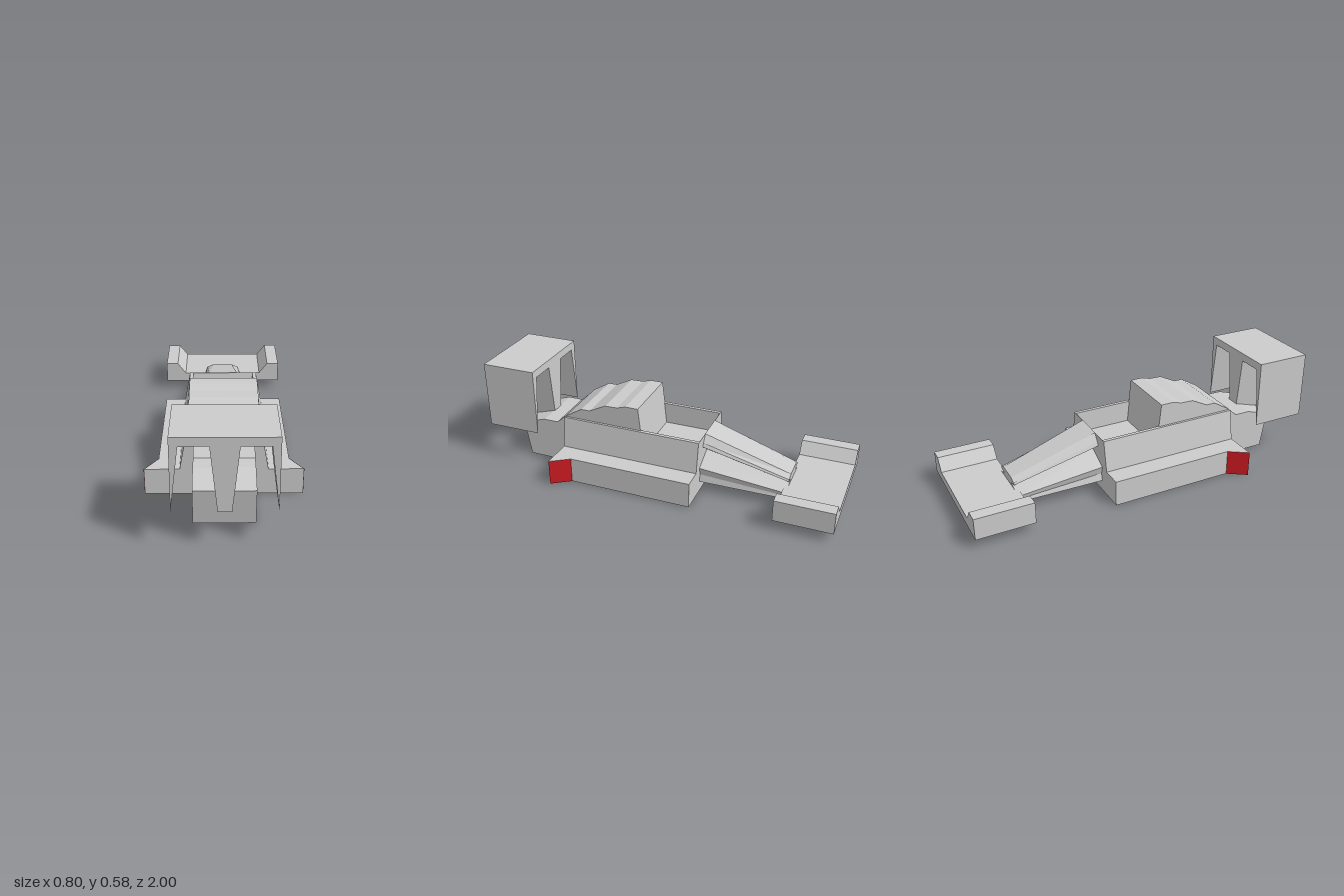
import * as THREE from 'three';

const grey = new THREE.MeshStandardMaterial({ color: 0xcccccc, flatShading: true });
const red = new THREE.MeshStandardMaterial({ color: 0xcc1a22, flatShading: true, side: THREE.DoubleSide });

// Right half of an outline, bottom to top, completed by its mirror image
const mirrored = (half) => [...half, ...half.map(([x, y]) => [-x, y]).reverse()];

const shapeOf = (pts) => new THREE.Shape(pts.map(([x, y]) => new THREE.Vector2(x, y)));

function part(name, geometry, material = grey) {
  const mesh = new THREE.Mesh(geometry, material);
  mesh.name = name;
  return mesh;
}

// Front outline (x, y) extruded from z0 to z1
function alongZ(pts, z0, z1) {
  const geo = new THREE.ExtrudeGeometry(shapeOf(pts), { depth: z1 - z0, bevelEnabled: false });
  return geo.translate(0, 0, z0);
}

// Side profile (z, y) extruded across the car to a half width
function acrossX(pts, halfWidth) {
  const geo = new THREE.ExtrudeGeometry(shapeOf(pts), { depth: halfWidth * 2, bevelEnabled: false });
  return geo.rotateY(-Math.PI / 2).translate(halfWidth, 0, 0);
}

// Skin between two sections, with the tip end closed
function loft(a, za, b, zb) {
  const pos = [];
  const n = a.length;
  for (let i = 0; i < n; i++) {
    const j = (i + 1) % n;
    pos.push(...a[i], za, ...b[i], zb, ...b[j], zb);
    pos.push(...a[i], za, ...b[j], zb, ...a[j], za);
  }
  const contour = b.map(([x, y]) => new THREE.Vector2(x, y));
  for (const [p, q, r] of THREE.ShapeUtils.triangulateShape(contour, [])) {
    pos.push(...b[p], zb, ...b[r], zb, ...b[q], zb);
  }
  const geo = new THREE.BufferGeometry();
  geo.setAttribute('position', new THREE.Float32BufferAttribute(pos, 3));
  geo.computeVertexNormals();
  return geo;
}

export function createModel() {
  const car = new THREE.Group();
  car.name = 'racingCar';

  // Tub with side pods and an open cockpit channel
  const tub = mirrored([
    [0.33, 0], [0.33, 0.142], [0.22, 0.142], [0.19, 0.31], [0.17, 0.31], [0.168, 0.19],
  ]);
  car.add(part('tub', alongZ(tub, -0.24, 0.545)));

  // Sloped wall closing the cockpit at the nose
  const bulkhead = [[-0.24, 0.18], [-0.21, 0.18], [-0.238, 0.31], [-0.24, 0.31]];
  car.add(part('cockpitBulkhead', acrossX(bulkhead, 0.17)));

  // Stepped engine cover
  const cover = [
    [0.08, 0.18], [0.545, 0.18], [0.545, 0.312], [0.445, 0.372], [0.395, 0.372],
    [0.3, 0.42], [0.23, 0.422], [0.18, 0.437], [0.108, 0.437],
  ];
  car.add(part('engineCover', acrossX(cover, 0.177)));

  // Gearbox under the rear wing
  const gearbox = [
    [0.5, 0.003], [0.802, 0.003], [0.835, 0.204], [0.7, 0.247], [0.615, 0.247],
    [0.545, 0.31], [0.5, 0.31],
  ];
  car.add(part('gearbox', acrossX(gearbox, 0.15)));

  // Flared pod ends with a red panel on the slanted face
  for (const side of [1, -1]) {
    const flare = new THREE.ExtrudeGeometry(
      shapeOf([[side * 0.33, 0.445], [side * 0.397, 0.545], [side * 0.33, 0.545]]),
      { depth: 0.142, bevelEnabled: false },
    ).rotateX(Math.PI / 2).translate(0, 0.142, 0);
    car.add(part(side > 0 ? 'leftFlare' : 'rightFlare', flare));

    const panel = part(side > 0 ? 'leftPanel' : 'rightPanel',
      new THREE.PlaneGeometry(Math.hypot(0.067, 0.1), 0.142), red);
    panel.position.set(side * 0.3645, 0.071, 0.4945);
    panel.rotation.y = side * Math.atan2(0.1, -0.067);
    car.add(panel);
  }

  // Waisted nose tapering to the front wing
  const noseBase = mirrored([
    [0.165, 0.06], [0.155, 0.1], [0.168, 0.145], [0.05, 0.2], [0.12, 0.25], [0.11, 0.27], [0.08, 0.31],
  ]);
  const noseTip = mirrored([
    [0.15, 0.055], [0.145, 0.07], [0.15, 0.09], [0.05, 0.122], [0.1, 0.13], [0.095, 0.14], [0.06, 0.155],
  ]);
  car.add(part('nose', loft(noseBase, -0.24, noseTip, -0.71)));

  // Front wing with raised ends
  const frontWing = mirrored([
    [0.355, 0.052], [0.355, 0.17], [0.285, 0.17], [0.235, 0.105],
  ]);
  car.add(part('frontWing', alongZ(frontWing, -1, -0.69)));

  // Rear wing: top plate, tapered end plates and centre post
  const rearWing = mirrored([
    [0.032, 0.203], [0.066, 0.532], [0.2, 0.532], [0.239, 0.203], [0.239, 0.576],
  ]);
  car.add(part('rearWing', alongZ(rearWing, 0.695, 1)));

  return car;
}
